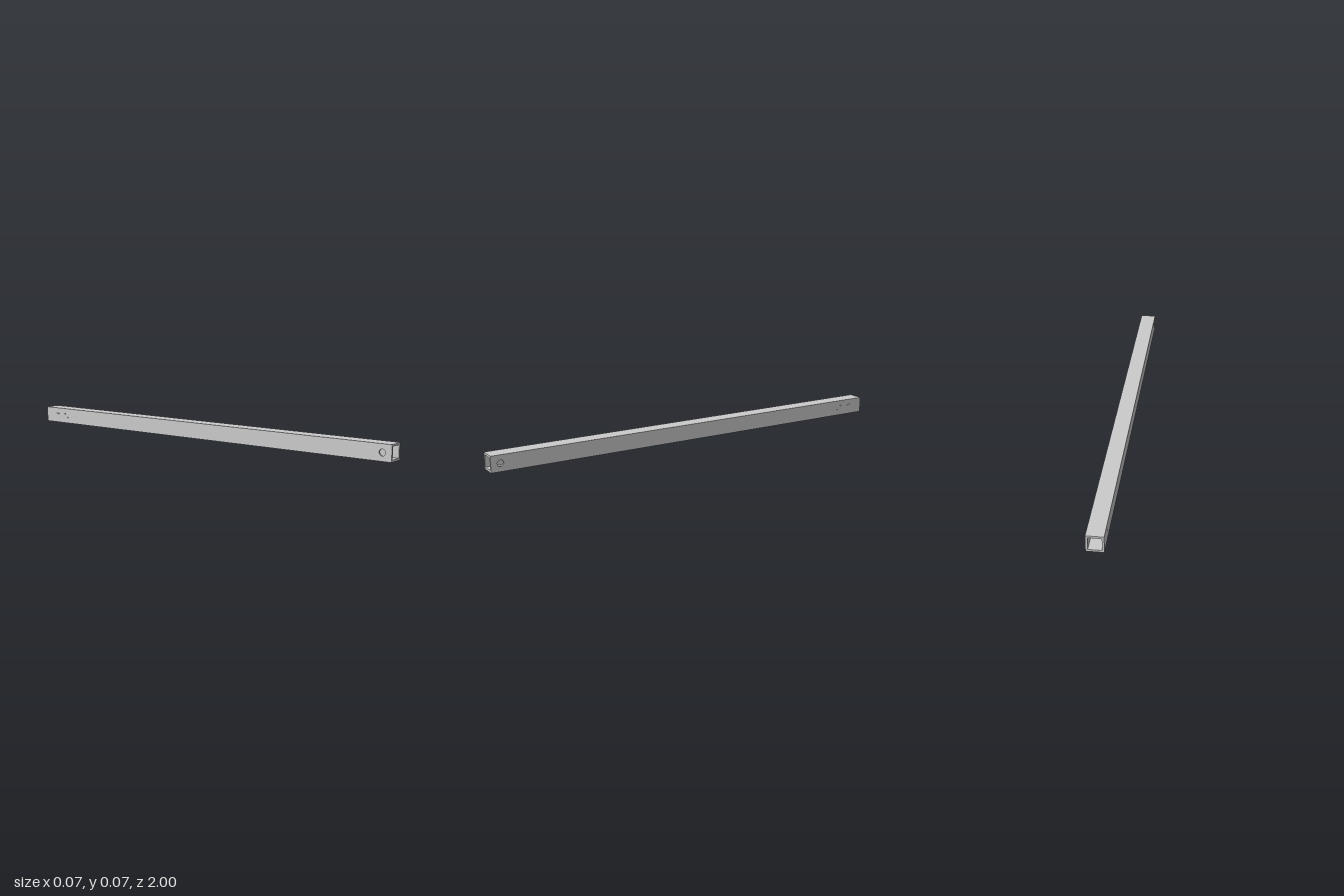
import * as THREE from 'three';

const SIZE = 0.074, WALL = 0.0095, LENGTH = 2, HALF = SIZE / 2;

// Holes through both side walls: [z, y, radius, segments]
const HOLES = [
  [0.957, HALF, 0.0145, 32],
  [-0.85, 0.029, 0.003, 12],
  [-0.87, 0.047, 0.003, 12],
  [-0.915, 0.045, 0.003, 12],
  [-0.928, 0.047, 0.003, 12],
];

function sideWallGeometry() {
  const shape = new THREE.Shape([
    new THREE.Vector2(-LENGTH / 2, 0),
    new THREE.Vector2(LENGTH / 2, 0),
    new THREE.Vector2(LENGTH / 2, SIZE),
    new THREE.Vector2(-LENGTH / 2, SIZE),
  ]);
  for (const [z, y, r, n] of HOLES) {
    const points = [];
    for (let i = 0; i < n; i++) {
      const a = -i / n * Math.PI * 2;
      points.push(new THREE.Vector2(z + r * Math.cos(a), y + r * Math.sin(a)));
    }
    shape.holes.push(new THREE.Path(points));
  }
  // Turn the drawn profile so its length runs along z, centred on x = 0
  return new THREE.ExtrudeGeometry(shape, { depth: WALL, bevelEnabled: false })
    .translate(0, 0, -WALL / 2)
    .rotateY(-Math.PI / 2);
}

export function createModel() {
  const group = new THREE.Group();
  group.name = 'squareTube';
  const material = new THREE.MeshStandardMaterial({ color: 0xcccccc });
  const add = (name, geometry, x, y) => {
    const mesh = new THREE.Mesh(geometry, material);
    mesh.name = name;
    mesh.position.set(x, y, 0);
    group.add(mesh);
  };

  // Drilled side walls
  const side = sideWallGeometry();
  add('leftWall', side, HALF - WALL / 2, 0);
  add('rightWall', side, -HALF + WALL / 2, 0);

  // Plain plates closing the tube above and below
  const plate = new THREE.BoxGeometry(SIZE - 2 * WALL, WALL, LENGTH);
  add('topWall', plate, 0, SIZE - WALL / 2);
  add('bottomWall', plate, 0, WALL / 2);

  return group;
}
